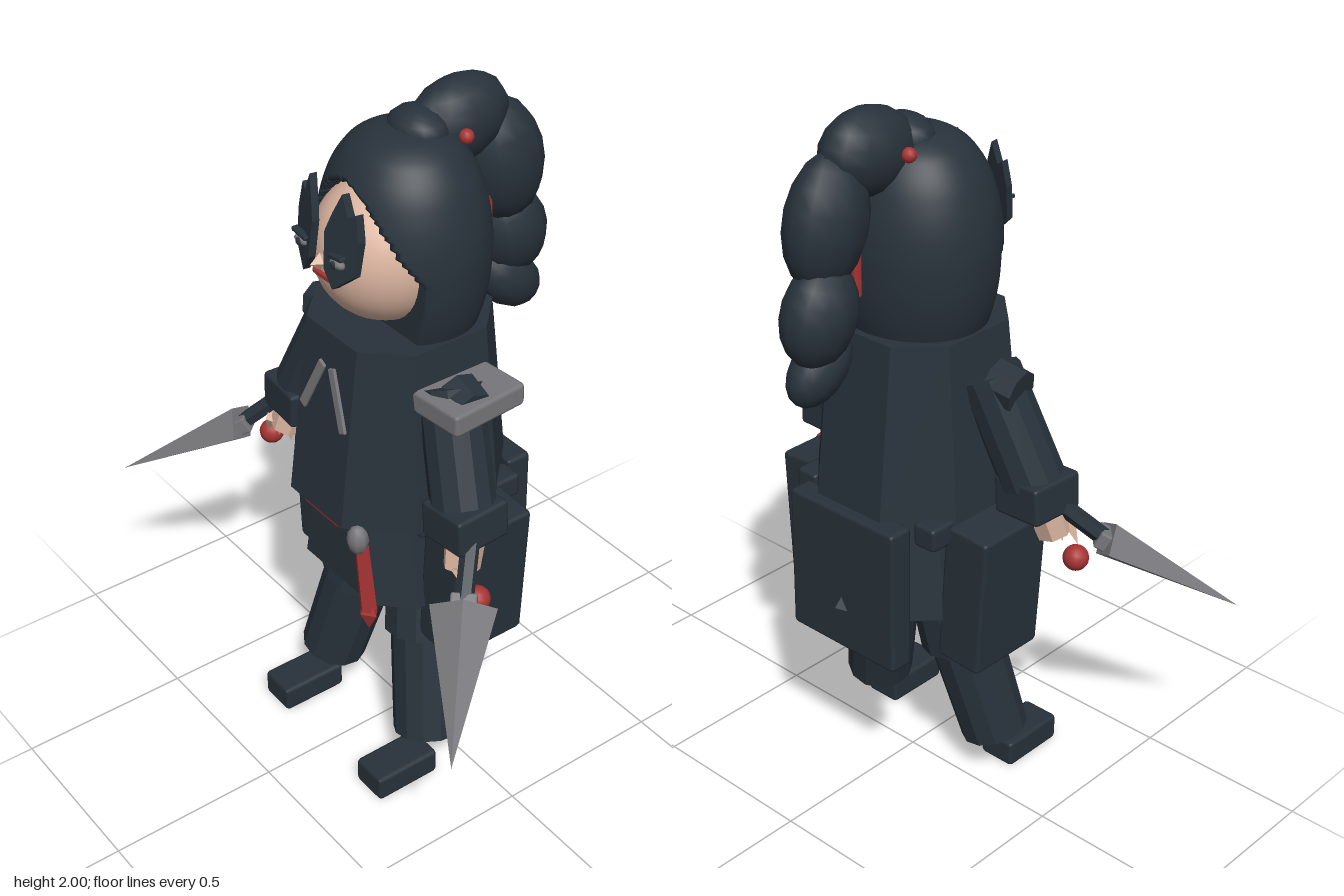
import * as THREE from 'three';
import { RoundedBoxGeometry } from 'three/addons/geometries/RoundedBoxGeometry.js';

const V = (x, y, z) => new THREE.Vector3(x, y, z);

export function createModel() {
  const model = new THREE.Group();
  model.name = 'figure';
  const mat = (name, color) => {
    const m = new THREE.MeshStandardMaterial({ color });
    m.name = name;
    return m;
  };
  const dark = mat('dark cloth', 0x28323b);
  const skin = mat('skin', 0xdcb5a0);
  const red = mat('red', 0xa83434);
  const steel = mat('steel', 0x77777b);

  const add = (name, geo, material, x = 0, y = 0, z = 0, rx = 0, ry = 0, rz = 0) => {
    const m = new THREE.Mesh(geo, material);
    m.name = name;
    m.position.set(x, y, z);
    m.rotation.set(rx, ry, rz);
    model.add(m);
    return m;
  };
  const flat = (geo) => {
    const g = geo.index ? geo.toNonIndexed() : geo;
    g.computeVertexNormals();
    return g;
  };
  const box = (w, h, d, r = 0.012) => new RoundedBoxGeometry(w, h, d, 1, r);
  const blob = (rx, ry, rz, a = 14, b = 10) => new THREE.SphereGeometry(1, a, b).scale(rx, ry, rz);

  // Straight limb from a to b
  const limb = (name, a, b, ra, rb, material, sides = 10) => {
    const dir = b.clone().sub(a);
    const m = add(name, flat(new THREE.CylinderGeometry(rb, ra, dir.length(), sides)), material);
    m.position.copy(a).add(b).multiplyScalar(0.5);
    m.quaternion.setFromUnitVectors(V(0, 1, 0), dir.normalize());
    return m;
  };

  // Chamfered box tapering from top to bottom; each end is [y, halfWidth, back, front, chamfer]
  const coat = (name, top, bottom) => {
    const g = new THREE.CylinderGeometry(1, 1, 1, 8, 1, false, Math.PI / 8);
    const p = g.attributes.position;
    for (let i = 0; i < p.count; i++) {
      const [y, w, back, front, c] = p.getY(i) > 0 ? top : bottom;
      const mid = (front + back) / 2, d = (front - back) / 2;
      const x = p.getX(i), z = p.getZ(i);
      const place = (v, half) => (Math.abs(v) < 0.01 ? 0 : Math.sign(v) * (Math.abs(v) > 0.6 ? half : half - c));
      p.setXYZ(i, place(x, w), y, mid + place(z, d));
    }
    return add(name, flat(g), dark);
  };

  // Coat, skirt and belt
  coat('coat', [1.4, 0.215, -0.2, 0.24, 0.105], [0.875, 0.262, -0.255, 0.305, 0.145]);
  coat('skirt', [0.92, 0.19, -0.2, 0.215, 0.08], [0.6, 0.245, -0.21, 0.235, 0.09]);
  add('belt', box(0.165, 0.05, 0.05), red, 0, 0.865, 0.265);
  for (const s of [-1, 1]) {
    add('lapelTrim', box(0.028, 0.175, 0.014, 0.004), steel, s * 0.055, 1.23, 0.262, -0.12, 0, s * 0.42);
    for (const z of [-0.15, 0.1]) add('beltPouch', box(0.075, 0.07, 0.09), dark, s * 0.22, 0.88, z);
  }

  // Hanging tassel on the left of the belt
  add('tasselKnot', blob(0.032, 0.045, 0.03, 8, 6), steel, 0.15, 0.845, 0.275);
  add('tasselPin', box(0.06, 0.025, 0.02, 0.006), steel, 0.115, 0.81, 0.255, 0, 0, -0.7);
  limb('tasselCord', V(0.145, 0.82, 0.26), V(0.16, 0.6, 0.25), 0.02, 0.024, red, 6);
  add('tasselEnd', flat(new THREE.OctahedronGeometry(1).scale(0.036, 0.062, 0.028)), red, 0.16, 0.592, 0.25);

  // Back plate with a small stud
  add('backPlate', box(0.385, 0.43, 0.075), dark, 0, 0.695, -0.247);
  add('backStud', flat(new THREE.ConeGeometry(0.045, 0.045, 3)), dark, 0, 0.62, -0.287, -Math.PI / 2);

  for (const s of [-1, 1]) {
    // Hip plate
    add('hipPlate', box(0.145, 0.42, 0.25), dark, s * 0.298, 0.688, -0.005, 0, 0, -s * 0.06);

    // Leg and foot
    limb('thigh', V(s * 0.1, 0.72, 0), V(s * 0.152, 0.43, 0.045), 0.11, 0.12, dark, 12);
    limb('shin', V(s * 0.15, 0.47, 0.04), V(s * 0.23, 0.125, 0.1), 0.105, 0.097, dark, 12);
    add('foot', box(0.115, 0.08, 0.205), dark, s * 0.232, 0.04, 0.21);

    // Arm, cuff and hand
    limb('shoulder', V(s * 0.26, 1.278, 0.035), V(s * 0.34, 1.262, 0.045), 0.062, 0.06, dark, 8);
    limb('upperArm', V(s * 0.235, 1.29, 0.04), V(s * 0.355, 1.0, 0.085), 0.085, 0.088, dark, 12);
    add('cuff', box(0.155, 0.11, 0.17), dark, s * 0.368, 0.965, 0.088, 0, s * 0.05, s * 0.06);
    limb('hand', V(s * 0.385, 0.93, 0.1), V(s * 0.402, 0.84, 0.125), 0.056, 0.05, skin, 7);
    for (let i = 0; i < 3; i++) {
      add('finger', flat(new THREE.ConeGeometry(0.025, 0.07, 4)), skin,
        s * (0.375 + i * 0.035), 0.84, 0.13 + i * 0.012, Math.PI, 0, -s * 0.25 * i);
    }

    // Throwing knife: grip, collar, blade and ball
    const base = V(s * 0.515, 0.825, 0.208), tip = V(s * 0.785, 0.615, 0.458);
    limb('knifeGrip', V(s * 0.41, 0.955, 0.1), base, 0.025, 0.025, dark, 6);
    const d = tip.clone().sub(base), length = d.length();
    d.normalize();
    const across = V(d.z, 0, -d.x).normalize();
    const blade = add('knifeBlade', flat(new THREE.ConeGeometry(1, length, 4).scale(0.088, 1, 0.052)), steel);
    const basis = new THREE.Matrix4().makeBasis(across, d, across.clone().cross(d));
    blade.quaternion.setFromRotationMatrix(basis);
    blade.position.copy(base).add(tip).multiplyScalar(0.5);
    const collar = add('knifeCollar', box(0.07, 0.05, 0.05, 0.006), steel);
    collar.quaternion.copy(blade.quaternion);
    collar.position.copy(base).addScaledVector(d, -0.005);
    add('knifeBall', blob(0.036, 0.036, 0.036), red, s * 0.475, 0.785, 0.13);
  }
  add('shoulderPlate', box(0.185, 0.065, 0.24), steel, 0.281, 1.27, 0.02, 0, 0.08, 0);

  // Head
  add('face', blob(0.19, 0.2, 0.2, 28, 20), skin, 0, 1.605, 0.06);

  // Hair: a rounded hood, pushed back below the hairline to open the face
  const profile = [[0.205, 1.395], [0.222, 1.45], [0.235, 1.52], [0.24, 1.6], [0.237, 1.66],
    [0.229, 1.71], [0.217, 1.755], [0.2, 1.8], [0.176, 1.84], [0.142, 1.877], [0.085, 1.905], [0, 1.915]];
  const curve = new THREE.SplineCurve(profile.map(([x, y]) => new THREE.Vector2(x, y)));
  const points = [new THREE.Vector2(0, 1.395), ...curve.getPoints(70)];
  points[points.length - 1].x = 0;
  const hair = new THREE.LatheGeometry(points, 96);
  const p = hair.attributes.position;
  for (let i = 0; i < p.count; i++) {
    const x = p.getX(i), y = p.getY(i), z = p.getZ(i);
    const hairline = 1.81 - 4.6 * x * x - 0.1 * Math.abs(x);
    let nz = z > 0 ? z * 0.95 : z * 0.87;
    if (y < hairline) nz = Math.min(nz, y < 1.6 ? 0.1 : 0.1 - (y - 1.6) * 0.2);
    p.setZ(i, nz);
  }
  hair.computeVertexNormals();
  add('hair', hair, dark);

  // Ponytail
  const tail = [
    [0, 1.895, -0.035, 0.09, 0.06, 0.075, 0],
    [0, 1.885, -0.16, 0.092, 0.115, 0.155, 0.15],
    [0.01, 1.735, -0.3, 0.098, 0.18, 0.122, 0.2],
    [-0.01, 1.51, -0.35, 0.092, 0.14, 0.11, 0.3],
    [0, 1.36, -0.345, 0.068, 0.115, 0.08, 0.85]];
  for (const [x, y, z, rx, ry, rz, tilt] of tail) {
    add('ponytail', blob(rx, ry, rz, 12, 9), dark, x, y, z, tilt);
  }
  for (const s of [-1, 1]) add('hairBead', blob(0.02, 0.02, 0.02, 10, 8), red, s * 0.095, 1.885, -0.115);
  add('hairRibbon', box(0.09, 0.17, 0.025, 0.008), red, 0.02, 1.6, -0.222);

  // Face details: pointed leaf masks round the eyes, [x, y] on the left side
  const leafPoints = [[0.032, 1.62], [0.026, 1.72], [0.045, 1.775], [0.068, 1.83], [0.09, 1.775],
    [0.112, 1.79], [0.126, 1.72], [0.12, 1.625], [0.062, 1.572]];
  for (const s of [-1, 1]) {
    const leaf = new THREE.Shape(leafPoints.map(([x, y]) => new THREE.Vector2(s * x, y - 1.7)));
    const g = new THREE.ExtrudeGeometry(leaf, { depth: 0.022, bevelEnabled: false });
    const a = g.attributes.position;
    for (let i = 0; i < a.count; i++) a.setZ(i, a.getZ(i) - Math.abs(a.getX(i)) * 0.3);
    g.computeVertexNormals();
    add('eyeMask', g, dark, 0, 1.7, 0.258, -0.12);
    add('eye', blob(0.028, 0.013, 0.014, 10, 6), steel, s * 0.076, 1.65, 0.268);
    add('pupil', blob(0.01, 0.011, 0.006, 8, 6), dark, s * 0.074, 1.65, 0.28);
    add('eyelid', box(0.06, 0.012, 0.02, 0.004), dark, s * 0.076, 1.669, 0.27, 0, 0, s * 0.15);
  }
  add('nose', flat(new THREE.OctahedronGeometry(1).scale(0.018, 0.024, 0.03)), skin, 0, 1.622, 0.268);
  add('mouth', box(0.072, 0.014, 0.02, 0.004), red, 0, 1.582, 0.258);

  return model;
}
